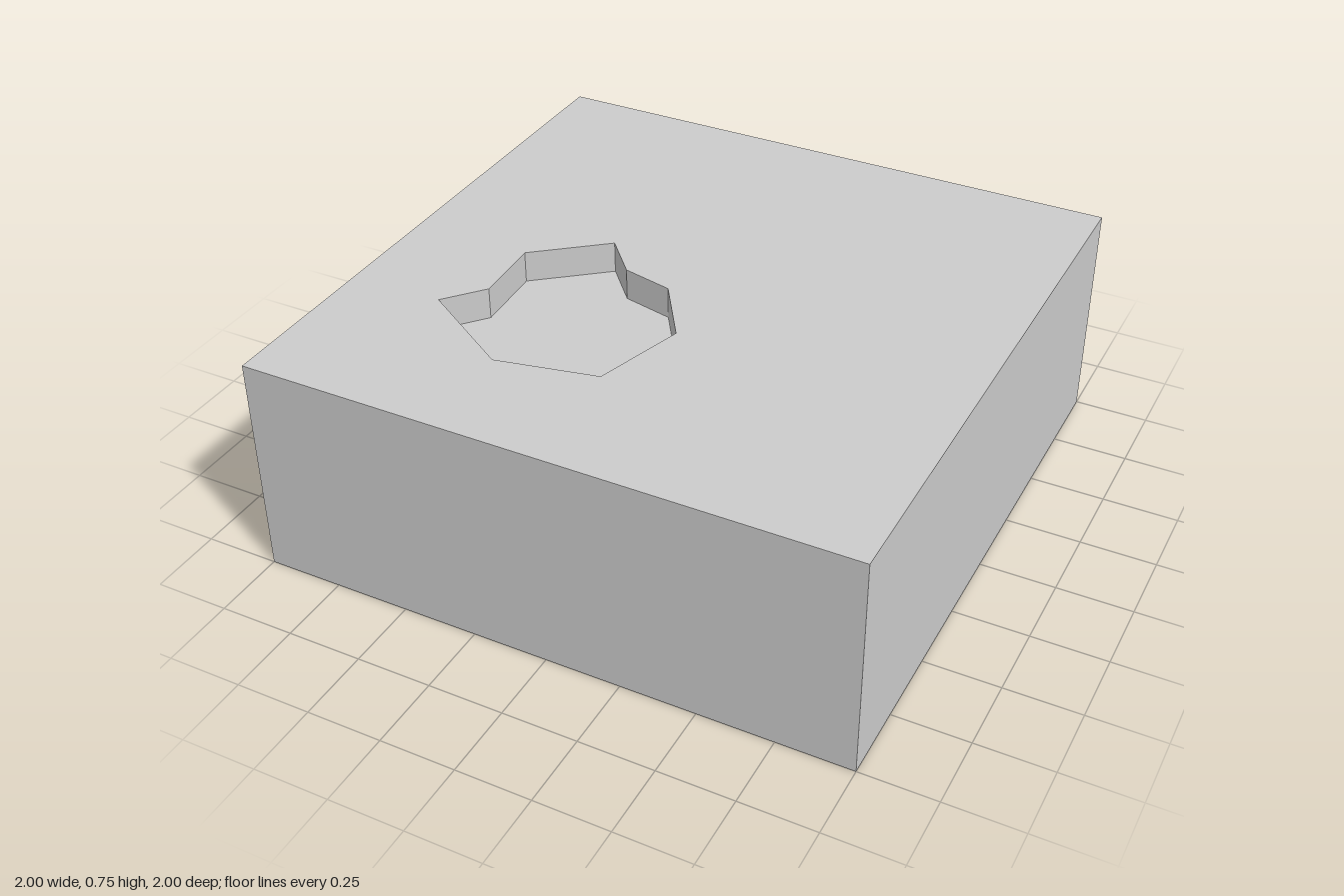
import * as THREE from 'three';

const HEIGHT = 0.75;
const POCKET_DEPTH = 0.107;

// Outlines in plan as [x, z]; the block runs counter-clockwise seen from above, the pocket clockwise
const blockOutline = [[-1, 1], [1, 1], [1, -1], [-1, -1]];
const pocketOutline = [
  [-0.365, -0.12], [-0.25, 0.01], [-0.08, 0.05], [0.06, 0.265], [-0.03, 0.57],
  [-0.36, 0.638], [-0.685, 0.43], [-0.58, 0.305], [-0.594, 0.065],
];

const toPoints = (outline) => outline.map(([x, z]) => new THREE.Vector2(x, -z));

// Flat horizontal face, looking up at height y
function cap(outline, y, hole) {
  const shape = new THREE.Shape(toPoints(outline));
  if (hole) shape.holes.push(new THREE.Path(toPoints(hole)));
  return new THREE.ShapeGeometry(shape).rotateX(-Math.PI / 2).translate(0, y, 0);
}

// Ring of upright flat faces along an outline
function walls(outline, y0, y1) {
  const positions = [];
  outline.forEach(([ax, az], i) => {
    const [bx, bz] = outline[(i + 1) % outline.length];
    positions.push(ax, y0, az, bx, y0, bz, bx, y1, bz);
    positions.push(ax, y0, az, bx, y1, bz, ax, y1, az);
  });
  const geometry = new THREE.BufferGeometry();
  geometry.setAttribute('position', new THREE.Float32BufferAttribute(positions, 3));
  geometry.computeVertexNormals();
  return geometry;
}

export function createModel() {
  const model = new THREE.Group();
  model.name = 'blockWithPocket';
  const material = new THREE.MeshStandardMaterial({ color: 0xcccccc, flatShading: true });
  const add = (name, geometry) => {
    const mesh = new THREE.Mesh(geometry, material);
    mesh.name = name;
    model.add(mesh);
  };

  // Block
  add('blockTop', cap(blockOutline, HEIGHT, pocketOutline));
  add('blockSides', walls(blockOutline, 0, HEIGHT));
  add('blockBottom', cap(blockOutline, 0).rotateX(Math.PI));

  // Irregular pocket sunk into the top
  add('pocketWalls', walls(pocketOutline, HEIGHT - POCKET_DEPTH, HEIGHT));
  add('pocketFloor', cap(pocketOutline, HEIGHT - POCKET_DEPTH));

  return model;
}
